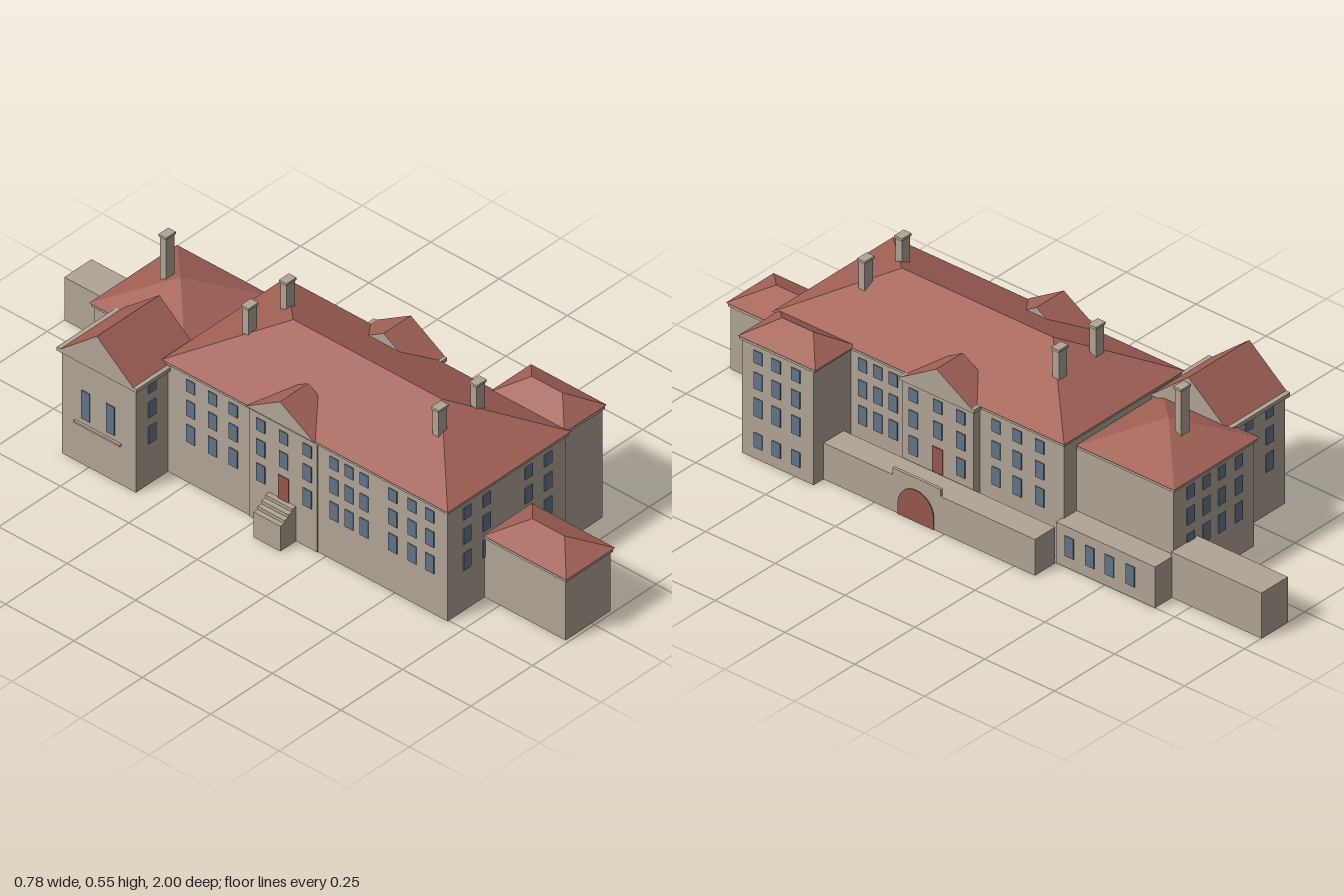
import * as THREE from 'three';

const mat = (name, color) => {
  const m = new THREE.MeshStandardMaterial({ color, side: THREE.DoubleSide });
  m.name = name;
  return m;
};

export function createModel() {
  const stone = mat('stone', 0xb0a595);
  const tile = mat('roofTile', 0xa36257);
  const glass = mat('windowGlass', 0x637589);
  const red = mat('doorRed', 0x96574c);
  const model = new THREE.Group();
  model.name = 'manor';

  const add = (name, geo, material) => {
    const m = new THREE.Mesh(geo, material);
    m.name = name;
    model.add(m);
    return m;
  };

  // Box given by its limits; open ones have no floor
  const box = (name, x0, x1, y0, y1, z0, z1, material = stone, open = false) => {
    const g = new THREE.BoxGeometry(x1 - x0, y1 - y0, z1 - z0);
    g.translate((x0 + x1) / 2, (y0 + y1) / 2, (z0 + z1) / 2);
    if (open) {
      const idx = Array.from(g.index.array);
      idx.splice(18, 6);
      g.setIndex(idx);
      g.clearGroups();
    }
    return add(name, g, material);
  };
  const walls = (name, x0, x1, z0, z1, h) => box(name, x0, x1, 0, h, z0, z1, stone, true);
  const cornice = (name, x0, x1, z0, z1, top) => box(name, x0, x1, top - 0.012, top, z0, z1);

  // Roof over a rectangle with a ridge along z from za to zb; group 1 holds the two ends
  const roofGeometry = (x0, x1, z0, z1, y0, y1, rx, za, zb) => {
    const p = [[x0, y0, z0], [x1, y0, z0], [x1, y0, z1], [x0, y0, z1], [rx, y1, za], [rx, y1, zb]];
    const slopes = [0, 3, 5, 0, 5, 4, 2, 1, 4, 2, 4, 5, 0, 1, 2, 0, 2, 3];
    const ends = [3, 2, 5, 1, 0, 4];
    const g = new THREE.BufferGeometry();
    g.setAttribute('position', new THREE.Float32BufferAttribute([...slopes, ...ends].flatMap(i => p[i]), 3));
    g.addGroup(0, slopes.length, 0);
    g.addGroup(slopes.length, ends.length, 1);
    g.computeVertexNormals();
    return g;
  };
  const hipRoof = (name, ...a) => add(name, roofGeometry(...a), [tile, tile]);
  // Gable roof with its ridge along x and stone ends
  const gableRoof = (name, x0, x1, z0, z1, y0, y1) => {
    const l = (x1 - x0) / 2, w = (z1 - z0) / 2;
    const g = roofGeometry(-w, w, -l, l, y0, y1, 0, -l, l);
    g.rotateY(Math.PI / 2);
    g.translate((x0 + x1) / 2, 0, (z0 + z1) / 2);
    add(name, g, [tile, stone]);
  };

  // Thin plates on a wall: axis 'x' or 'z' is the wall's normal
  const T = 0.003;
  const plate = (name, axis, at, c, w, y0, y1, material) => axis === 'x'
    ? box(name, at - T, at + T, y0, y1, c - w / 2, c + w / 2, material)
    : box(name, c - w / 2, c + w / 2, y0, y1, at - T, at + T, material);
  const ROWS = [[0.307, 0.347], [0.225, 0.277], [0.137, 0.195]];
  const windows = (axis, at, centres, rows = ROWS, dy = 0) => {
    for (const c of centres) for (const [a, b] of rows) plate('window', axis, at, c, 0.031, a + dy, b + dy, glass);
  };

  // Main block
  walls('mainWalls', -0.255, 0.223, -0.33, 0.694, 0.366);
  cornice('mainCornice', -0.261, 0.23, -0.336, 0.7, 0.377);
  hipRoof('mainRoof', -0.266, 0.236, -0.342, 0.704, 0.377, 0.5, -0.014, -0.087, 0.454);
  windows('z', 0.694, [-0.177, -0.098, 0.072, 0.151]);
  windows('x', 0.223, [0.39, 0.335, 0.28, -0.088, -0.164, -0.244]);
  windows('x', -0.255, [0.63, 0.565, 0.495, 0.39, 0.335, 0.28, -0.088, -0.164, -0.244]);

  // Central bays with gables on both long sides
  walls('rightBay', 0.2, 0.25, -0.03, 0.225, 0.366);
  cornice('rightBayCornice', 0.2, 0.26, -0.04, 0.228, 0.377);
  gableRoof('rightGable', 0.15, 0.26, -0.03, 0.22, 0.377, 0.453);
  walls('leftBay', -0.258, -0.2, -0.03, 0.22, 0.366);
  gableRoof('leftGable', -0.27, -0.156, -0.03, 0.22, 0.377, 0.453);
  for (const x of [0.25, -0.258]) {
    windows('x', x, [0.185, 0.015]);
    windows('x', x, [0.098], ROWS.slice(0, 2));
    plate('bayDoor', 'x', x, 0.098, 0.038, 0.115, 0.195, red);
  }

  // Corner pavilion
  walls('pavilionWalls', 0.223, 0.379, 0.432, 0.688, 0.366);
  cornice('pavilionCornice', 0.222, 0.385, 0.424, 0.692, 0.377);
  hipRoof('pavilionRoof', 0.218, 0.39, 0.417, 0.694, 0.377, 0.426, 0.301, 0.5, 0.612);
  windows('x', 0.379, [0.63, 0.565, 0.495], [...ROWS, [0.037, 0.084]]);

  // Front annexe
  walls('annexeWalls', -0.105, 0.076, 0.694, 0.99, 0.201);
  cornice('annexeCornice', -0.11, 0.081, 0.696, 0.996, 0.213);
  hipRoof('annexeRoof', -0.114, 0.085, 0.697, 1, 0.213, 0.261, -0.015, 0.787, 0.905);

  // Rear wing
  walls('rearWalls', -0.165, 0.17, -0.677, -0.33, 0.336);
  cornice('rearCornice', -0.171, 0.176, -0.683, -0.336, 0.347);
  hipRoof('rearRoof', -0.176, 0.181, -0.688, -0.338, 0.347, 0.424, 0, -0.513, -0.512);
  windows('z', -0.677, [0.1, 0.035, -0.03, -0.1], ROWS, -0.025);

  // Left wing
  walls('leftWingWalls', -0.385, -0.14, -0.598, -0.328, 0.346);
  cornice('leftWingCornice', -0.393, -0.145, -0.61, -0.318, 0.357);
  gableRoof('leftWingRoof', -0.393, -0.14, -0.602, -0.325, 0.352, 0.465);
  windows('z', -0.328, [-0.32]);
  windows('z', -0.598, [-0.32, -0.235]);
  for (const z of [-0.51, -0.42]) plate('tallWindow', 'x', -0.385, z, 0.03, 0.155, 0.25, glass);
  box('windowSill', -0.393, -0.385, 0.132, 0.138, -0.55, -0.38);

  // Low rear buildings
  walls('lowAnnexe', 0.17, 0.25, -0.68, -0.325, 0.131);
  windows('x', 0.25, [-0.373, -0.447, -0.517, -0.592], [[0.037, 0.101]]);
  walls('rearExtension', 0.07, 0.18, -1, -0.677, 0.145);

  // Terrace with raised parapet and arched gate
  walls('terrace', 0.255, 0.338, -0.325, 0.432, 0.116);
  box('terraceParapet', 0.329, 0.338, 0.116, 0.138, 0.013, 0.185);
  const arch = new THREE.Shape();
  arch.moveTo(-0.064, 0);
  arch.lineTo(0.064, 0);
  arch.lineTo(0.064, 0.037);
  arch.absarc(0, 0.037, 0.064, 0, Math.PI, false);
  const gate = add('archedGate', new THREE.ExtrudeGeometry(arch, { depth: 0.006, bevelEnabled: false }), red);
  gate.rotation.y = Math.PI / 2;
  gate.position.set(0.335, 0, 0.1);

  // Side stairs
  for (let i = 0; i < 4; i++) {
    const x = -0.322 + i * 0.016;
    walls('stairStep', x, i < 3 ? x + 0.016 : -0.255, 0.045, 0.143, 0.085 + i * 0.0105);
  }

  // Chimneys
  for (const [x, z] of [[-0.088, -0.18], [0.066, -0.18], [-0.088, 0.515], [0.066, 0.515], [0.002, -0.563]]) {
    box('chimney', x - 0.017, x + 0.017, z < -0.5 ? 0.38 : 0.43, 0.54, z - 0.011, z + 0.011);
    box('chimneyCap', x - 0.02, x + 0.02, 0.54, 0.548, z - 0.014, z + 0.014);
  }
  return model;
}
